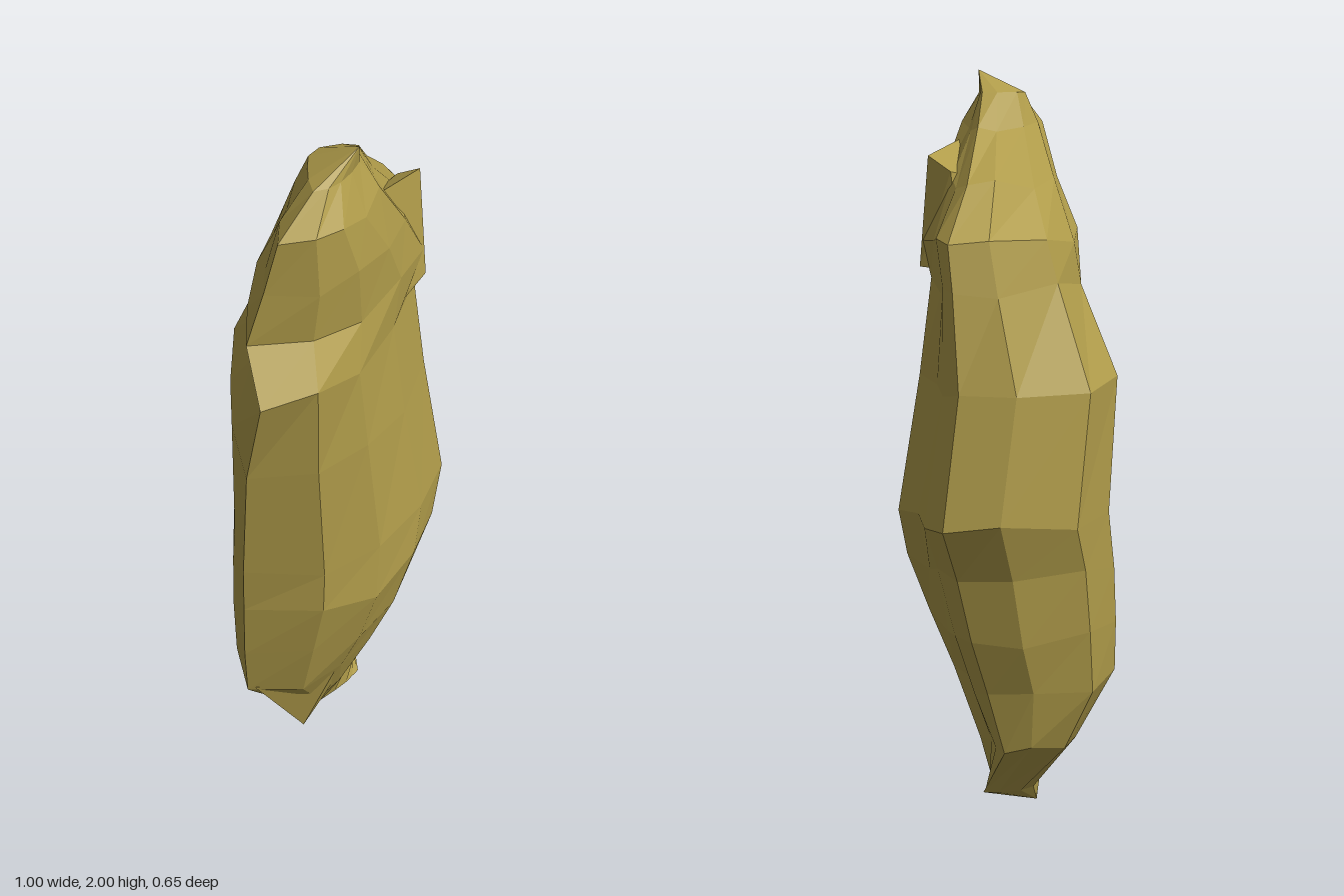
import * as THREE from 'three';
import { ConvexGeometry } from 'three/addons/geometries/ConvexGeometry.js';

// Lens-shaped section: [position along the left-right chord, offset in z]
const SECTION = [
  [0, 0], [0.14, 0.18], [0.31, 0.265], [0.53, 0.285], [0.74, 0.25], [0.87, 0.13], [0.95, 0.075],
  [1, 0], [0.92, -0.14], [0.72, -0.29], [0.52, -0.31], [0.34, -0.23], [0.16, -0.13],
];

// Rings from bottom to top: y, left x, left z, right x, right z, front bulge, back bulge
const RINGS = [
  [0.06, -0.11, 0.02, 0.13, 0.05, 0.05, 0.24],
  [0.23, -0.24, 0.08, 0.26, -0.1, 0.45, 0.52],
  [0.4, -0.41, 0.08, 0.31, -0.08, 0.75, 0.84],
  [0.55, -0.43, 0.09, 0.37, -0.07, 0.93, 0.92],
  [0.72, -0.44, 0.1, 0.42, -0.06, 1.07, 0.97],
  [0.86, -0.45, 0.11, 0.5, -0.07, 1.04, 0.98],
  [1.2, -0.475, 0.15, 0.44, -0.08, 0.88, 1.02],
  [1.45, -0.5, 0.22, 0.42, -0.05, 0.62, 0.78],
  [1.57, -0.44, 0.13, 0.41, -0.03, 0.74, 0.65],
  [1.71, -0.41, 0.16, 0.26, 0.01, 0.65, 0.44],
  [1.85, -0.39, 0.19, 0.07, 0.1, 0.42, 0.3],
  [1.94, -0.27, 0.2, -0.03, 0.15, 0.15, 0.28],
];

// Faceted skin through the rings, closed by a point at each end
function boulderGeometry() {
  const n = SECTION.length;
  const pos = [], index = [];
  RINGS.forEach(([y, xl, zl, xr, zr, front, back], r) => {
    SECTION.forEach(([t, d], i) => {
      const onEnd = d === 0 || r === 0 || r === RINGS.length - 1;
      const wave = onEnd ? 0 : 0.015 * Math.sin(i * 2.3 + r * 1.7);
      pos.push(
        xl + (xr - xl) * t,
        y + wave,
        zl + (zr - zl) * t + d * (d > 0 ? front : back),
      );
    });
  });
  const bottom = RINGS.length * n, top = bottom + 1, last = (RINGS.length - 1) * n;
  pos.push(-0.05, 0, -0.01, -0.12, 2, 0.22);
  for (let i = 0; i < n; i++) {
    const j = (i + 1) % n;
    for (let r = 0; r < RINGS.length - 1; r++) {
      const a = r * n + i, b = r * n + j;
      index.push(a, b, b + n, a, b + n, a + n);
    }
    index.push(bottom, j, i, top, last + i, last + j);
  }
  const geo = new THREE.BufferGeometry();
  geo.setAttribute('position', new THREE.Float32BufferAttribute(pos, 3));
  geo.setIndex(index);
  const flat = geo.toNonIndexed();
  flat.computeVertexNormals();
  return flat;
}

export function createModel() {
  const group = new THREE.Group();
  group.name = 'rock';
  const stone = new THREE.MeshStandardMaterial({ color: 0xb09c4a, flatShading: true });

  const add = (name, geometry) => {
    const mesh = new THREE.Mesh(geometry, stone);
    mesh.name = name;
    group.add(mesh);
  };
  const hull = (points) => new ConvexGeometry(points.map((p) => new THREE.Vector3(...p)));

  add('boulder', boulderGeometry());

  // Slab standing slightly proud of the upper front face
  add('upperLedge', hull([
    [0, 1.79, 0.19], [0.2, 1.78, 0.17], [0.19, 1.49, 0.205], [0.02, 1.47, 0.23],
    [-0.12, 1.84, 0.22], [-0.1, 1.5, 0.25], [0.2, 1.74, 0.1], [0.17, 1.48, 0.08], [-0.05, 1.7, 0.08],
  ]));

  // Spur low on the front left
  add('lowerSpur', hull([
    [-0.23, 0.16, 0.13], [-0.2, 0.39, 0.215], [-0.07, 0.24, 0.13],
    [-0.4, 0.41, 0.1], [-0.08, 0.34, 0.18], [-0.1, 0.38, 0],
  ]));
  return group;
}
